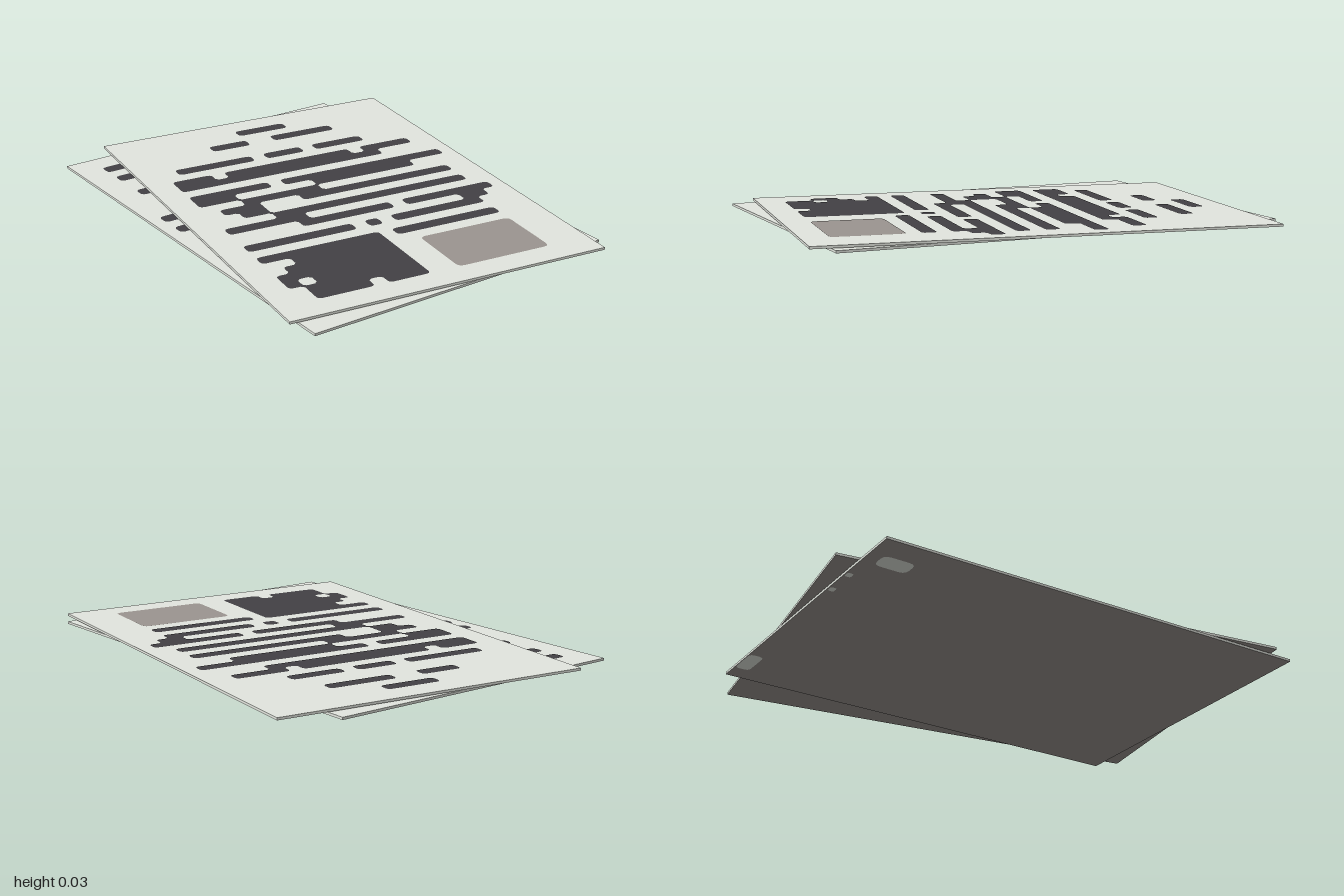
import * as THREE from 'three';
import { mergeGeometries } from 'three/addons/utils/BufferGeometryUtils.js';

const PAGE_W = 1.834, PAGE_D = 1.317, PAGE_T = 0.01;
const CELL_X = 0.0578, CELL_Z = 0.0575;   // size of one printed cell
const X0 = -0.781, Z0 = -0.110;           // centre of cell (0, 0) on the page
const LIFT = 0.0015;                      // height of the print above the sheet
const CORNERS = [[1, 1], [-1, 1], [-1, -1], [1, -1]];

const material = (name, color) => {
  const m = new THREE.MeshStandardMaterial({ color });
  m.name = name;
  return m;
};

// Printed runs: column -> list of [first row, last row]
const upperRuns = {
  0: [[0, 3]], 2: [[-3, 1], [4, 6]], 5: [[-4, -1], [1, 3], [5, 10]],
  7: [[-7, -4], [-2, 7], [9, 11]], 8: [[-4, 11]],
  10: [[-8, 4], [6, 11]], 11: [[-5, 2], [9, 11]],
  12: [[3, 8]], 13: [[-7, 4], [8, 10]], 14: [[8, 9]],
  15: [[-7, 7]], 16: [[6, 11]], 17: [[-8, -2], [0, 6]],
  18: [[-7, -6]], 19: [[-6, 0], [2, 2], [4, 11]],
  21: [[-6, 1], [3, 11]], 22: [[3, 9]], 23: [[3, 10]], 24: [[3, 11]],
  25: [[3, 9], [11, 11]], 26: [[3, 10]], 27: [[3, 5], [7, 10]],
};
const lowerRuns = {
  0: [[5, 11]], 2: [[6, 11]], 5: [[6, 11]], 10: [[7, 12]], 12: [[8, 12]],
};

const flat = (shape) => new THREE.ShapeGeometry(shape, 3).rotateX(-Math.PI / 2);

// Flat rectangle, with the chosen corners rounded
function roundedRect(w, d, r, round = () => true) {
  const points = [];
  for (const [sx, sy] of CORNERS) {
    const x = sx * w / 2, y = sy * d / 2;
    if (!round(sx, sy)) {
      points.push(new THREE.Vector2(x, y));
      continue;
    }
    const a = new THREE.Vector2(x, y - sy * r), b = new THREE.Vector2(x - sx * r, y);
    const [p, q] = sx * sy > 0 ? [a, b] : [b, a];   // counter-clockwise order
    points.push(...new THREE.QuadraticBezierCurve(p, new THREE.Vector2(x, y), q).getPoints(3));
  }
  return flat(new THREE.Shape(points));
}

// Small fill that softens an inner corner of the print
function fillet(sx, sy, r) {
  const x = sx * CELL_X / 2, y = sy * CELL_Z / 2;
  const a = new THREE.Vector2(x, y - sy * r), b = new THREE.Vector2(x - sx * r, y);
  const [p, q] = sx * sy > 0 ? [a, b] : [b, a];
  return flat(new THREE.Shape([p, new THREE.Vector2(x, y), q]));
}

// Connected print: outer corners are rounded, inner corners are filled
function printGeometry(runs) {
  const filled = new Set();
  for (const [k, list] of Object.entries(runs))
    for (const [a, b] of list) for (let j = a; j <= b; j++) filled.add(`${k},${j}`);
  const has = (k, j) => filled.has(`${k},${j}`);
  const parts = [];
  const place = (geometry, k, j) =>
    parts.push(geometry.translate(X0 + k * CELL_X, 0, Z0 + j * CELL_Z));
  for (let k = 0; k <= 28; k++) {
    for (let j = -9; j <= 13; j++) {
      if (has(k, j)) {
        const open = (sx, sy) => !has(k + sx, j) && !has(k, j - sy) && !has(k + sx, j - sy);
        place(roundedRect(CELL_X, CELL_Z, 0.02, open), k, j);
      } else {
        for (const [sx, sy] of CORNERS)
          if (has(k + sx, j) && has(k, j - sy)) place(fillet(sx, sy, 0.012), k, j);
      }
    }
  }
  return mergeGeometries(parts);
}

function addMesh(parent, name, geometry, mat, x, y, z) {
  const mesh = new THREE.Mesh(geometry, mat);
  mesh.name = name;
  mesh.position.set(x, y, z);
  parent.add(mesh);
  return mesh;
}

export function createModel() {
  const paper = material('paper', 0xe3e6df);
  const ink = material('ink', 0x434145);
  const grey = material('warmGrey', 0x9b9590);

  // Sheet with a pale face and edges and a grey back
  const makePage = (name, y, runs) => {
    const page = new THREE.Group();
    page.name = name;
    page.position.y = y;
    addMesh(page, 'sheet', new THREE.BoxGeometry(PAGE_W, PAGE_T, PAGE_D),
      [paper, paper, paper, grey, paper, paper], 0, PAGE_T / 2, 0);
    addMesh(page, 'print', printGeometry(runs), ink, 0, PAGE_T + LIFT, 0);
    return page;
  };

  const model = new THREE.Group();
  model.name = 'papers';

  // Lower page, shifted towards the front
  const lower = makePage('lowerPage', 0.001, lowerRuns);
  lower.position.z = 0.085;

  // Pale patches on the back of the lower page: x, z, width, depth
  const patches = [
    [-0.885, -0.505, 0.06, 0.14], [-0.9, 0.225, 0.025, 0.03],
    [-0.9, 0.355, 0.025, 0.03], [-0.8, 0.51, 0.13, 0.08],
  ];
  for (const [x, z, w, d] of patches) {
    const patch = addMesh(lower, 'backPatch', roundedRect(w, d, Math.min(w, d) * 0.35), paper, x, -0.001, z);
    patch.rotation.x = Math.PI;
  }

  // Dark mark on the left edge of the lower page
  addMesh(lower, 'edgeMark', new THREE.BoxGeometry(0.002, 0.008, 0.08), ink, PAGE_W / 2, 0.005, -0.515);

  // Upper page, turned slightly, with a picture in one corner
  const upper = makePage('upperPage', 0.014, upperRuns);
  upper.rotation.y = -0.1396;
  addMesh(upper, 'picture', roundedRect(0.289, 0.397, 0.025), grey, 0.665, PAGE_T + LIFT, -0.283);

  model.add(lower, upper);
  return model;
}
